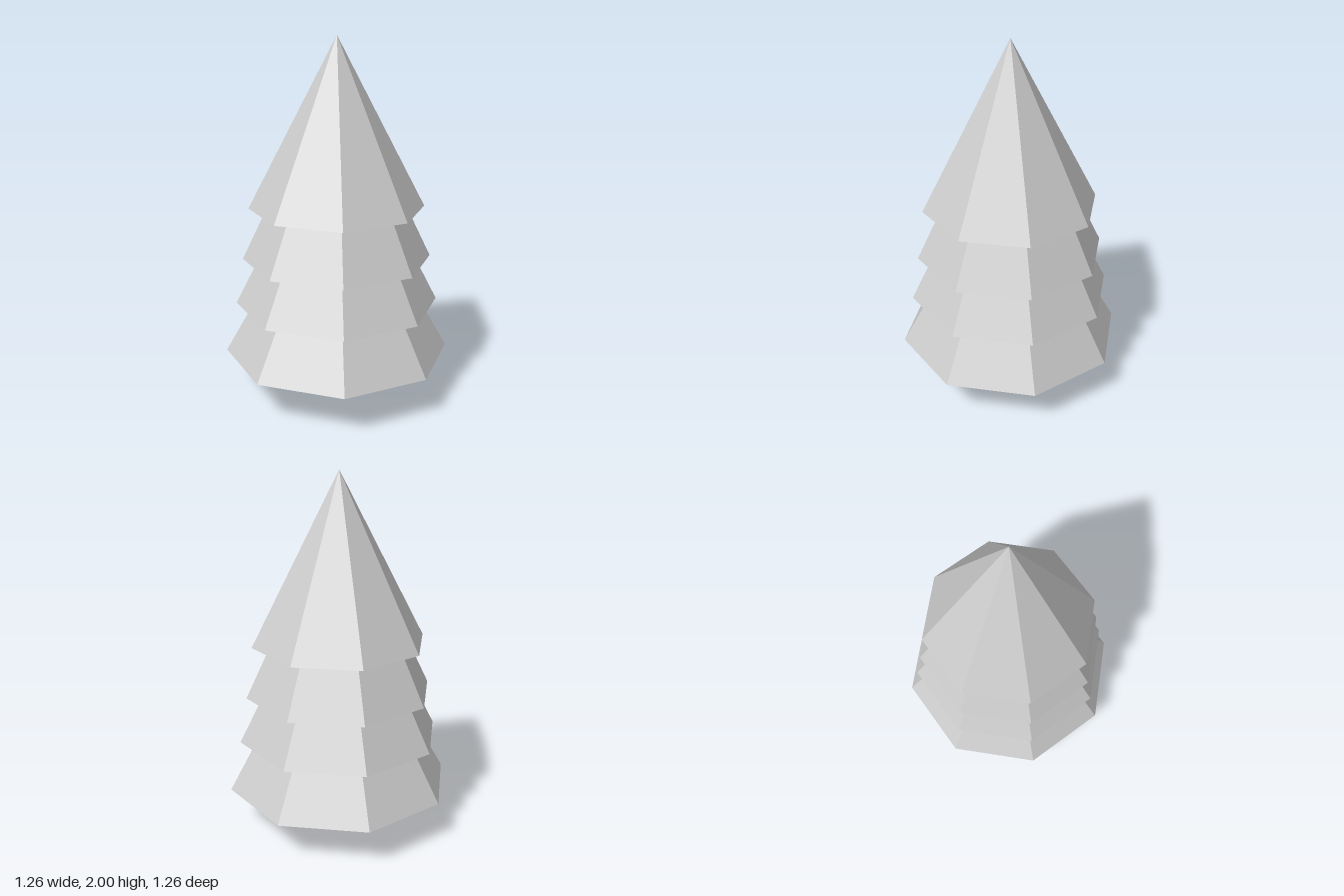
import * as THREE from 'three';

export function createModel() {
  const tree = new THREE.Group();
  tree.name = 'pineTree';
  const material = new THREE.MeshStandardMaterial({ color: 0xcccccc, flatShading: true });

  const add = (name, geometry, y) => {
    const mesh = new THREE.Mesh(geometry, material);
    mesh.name = name;
    mesh.position.y = y;
    tree.add(mesh);
  };

  // Tapered six-sided trunk with corners on the x axis, reaching just into the foliage
  const trunkHeight = 0.25;
  add('trunk', new THREE.CylinderGeometry(0.112, 0.175, trunkHeight, 6, 1, false, Math.PI / 2), trunkHeight / 2);

  // Overlapping eight-sided foliage cones: base height, radius, apex height
  const tiers = [
    ['bottomFoliage', 0.232, 0.632, 1.34],
    ['lowerFoliage', 0.52, 0.568, 1.63],
    ['upperFoliage', 0.78, 0.525, 1.87],
    ['topFoliage', 1.07, 0.486, 2],
  ];
  for (const [name, base, radius, apex] of tiers) {
    add(name, new THREE.ConeGeometry(radius, apex - base, 8), (base + apex) / 2);
  }

  return tree;
}
